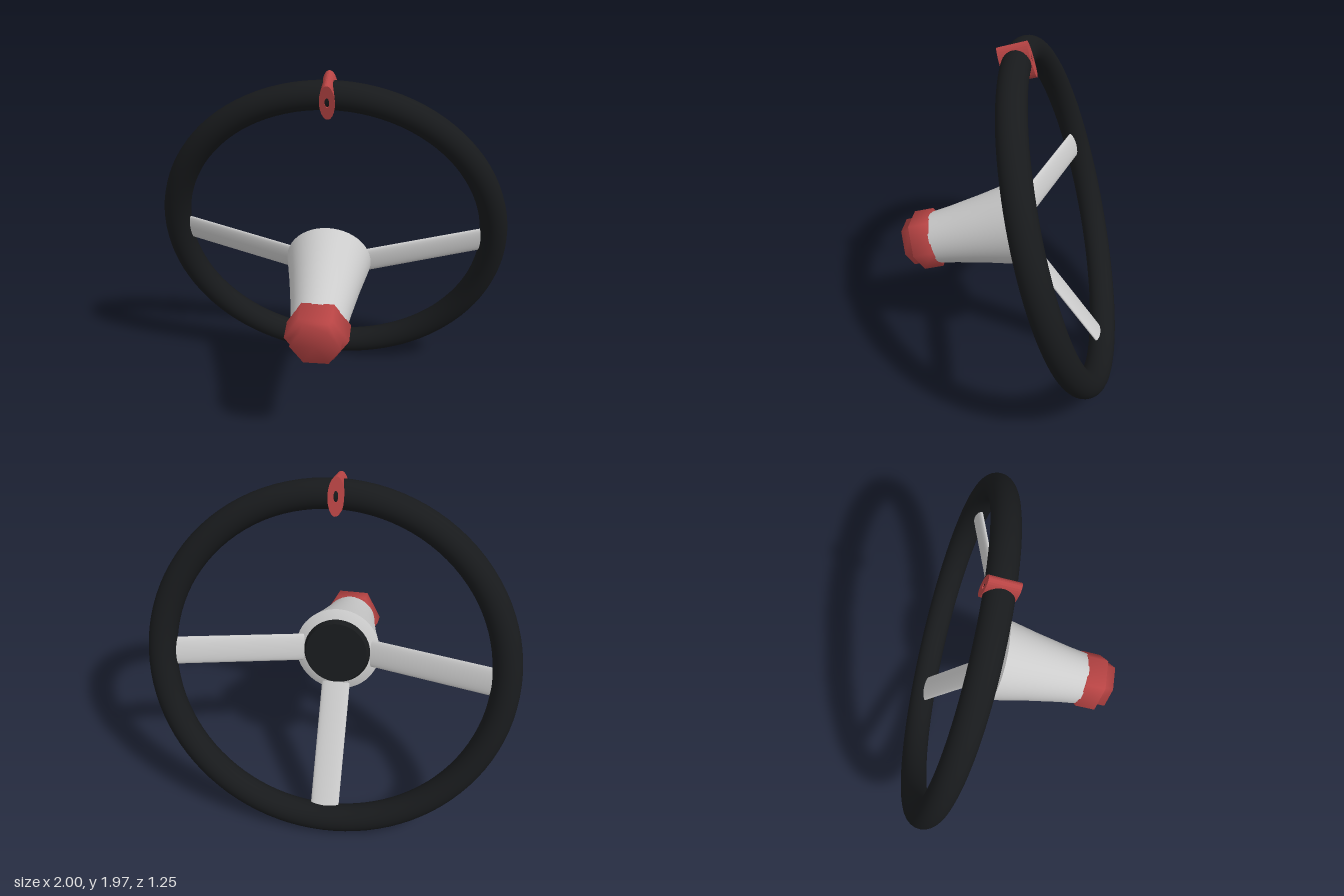
import * as THREE from 'three';

const grey = new THREE.MeshStandardMaterial({ color: 0xcccccc });
const black = new THREE.MeshStandardMaterial({ color: 0x181a1c });
const red = new THREE.MeshStandardMaterial({ color: 0xb84444 });

const TILT = 0.286;
const RING = 0.923;
const TUBE = 0.077;

function part(parent, name, geometry, material) {
  const mesh = new THREE.Mesh(geometry, material);
  mesh.name = name;
  parent.add(mesh);
  return mesh;
}

// Turned solid about the wheel axis; points are [radius, position along z], back to front.
function turned(points, segments, turn = 0) {
  const g = new THREE.LatheGeometry(points.map(p => new THREE.Vector2(p[0], p[1])), segments);
  return g.rotateY(turn).rotateX(Math.PI / 2);
}

// Oval bar running from the hub back to the rim, leaning away from the front.
function spokeGeometry() {
  const from = new THREE.Vector3(0.17, 0, 0.245);
  const to = new THREE.Vector3(0.88, 0, -0.003);
  const dir = to.clone().sub(from);
  const g = new THREE.CylinderGeometry(1, 1, dir.length(), 24);
  g.scale(0.018, 1, 0.079);
  g.rotateZ(-Math.PI / 2);
  g.rotateX(Math.PI / 2);
  // bar now lies along x, wide in y, thin in z
  g.rotateY(Math.atan2(-dir.z, dir.x));
  const mid = from.add(to).multiplyScalar(0.5);
  return g.translate(mid.x, mid.y, mid.z);
}

export function createModel() {
  const model = new THREE.Group();
  const wheel = new THREE.Group();
  wheel.name = 'steeringWheel';
  wheel.position.set(0, 0.966, -0.285);
  wheel.rotation.x = TILT;
  model.add(wheel);

  // Grip ring
  part(wheel, 'rim', new THREE.TorusGeometry(RING, TUBE, 24, 96), black);

  // Three spokes: right, left, bottom
  const spoke = spokeGeometry();
  [['leftSpoke', 0], ['rightSpoke', Math.PI], ['bottomSpoke', -Math.PI / 2]].forEach(([name, a]) => {
    part(wheel, name, spoke, grey).rotation.z = a;
  });

  // Flared hub with a chamfered back edge
  part(wheel, 'hub', turned([
    [0.236, 0.249], [0.216, 0.35], [0.196, 0.45], [0.178, 0.556], [0.162, 0.65], [0.149, 0.75],
  ], 48), grey);
  part(wheel, 'hubBackEdge', turned([[0.16, 0.222], [0.187, 0.222], [0.236, 0.249]], 48), grey);

  // Dark plate closing the back
  part(wheel, 'backPlate', turned([[0, 0.188], [0.17, 0.188]], 48), black);
  part(wheel, 'backPlateEdge', turned([[0.17, 0.188], [0.186, 0.225]], 48), black);

  // Stepped hexagonal nut with soft shading
  part(wheel, 'nut', turned([
    [0.14, 0.743], [0.169, 0.743], [0.169, 0.858], [0.133, 0.858], [0.133, 0.916], [0, 0.916],
  ], 6, Math.PI / 6), red);

  // Oval marker clip around the top of the rim, with a small slot front and back
  const oval = new THREE.Shape();
  oval.absellipse(0, 0, 0.041, 0.099, 0, Math.PI * 2);
  const slot = new THREE.Path();
  slot.absellipse(0, 0, 0.012, 0.028, 0, Math.PI * 2, true);
  oval.holes.push(slot);
  const clip = new THREE.ExtrudeGeometry(oval, { depth: 0.16, bevelEnabled: false, curveSegments: 16 });
  part(wheel, 'topMarker', clip.translate(0, RING, -0.08), red);

  return model;
}
